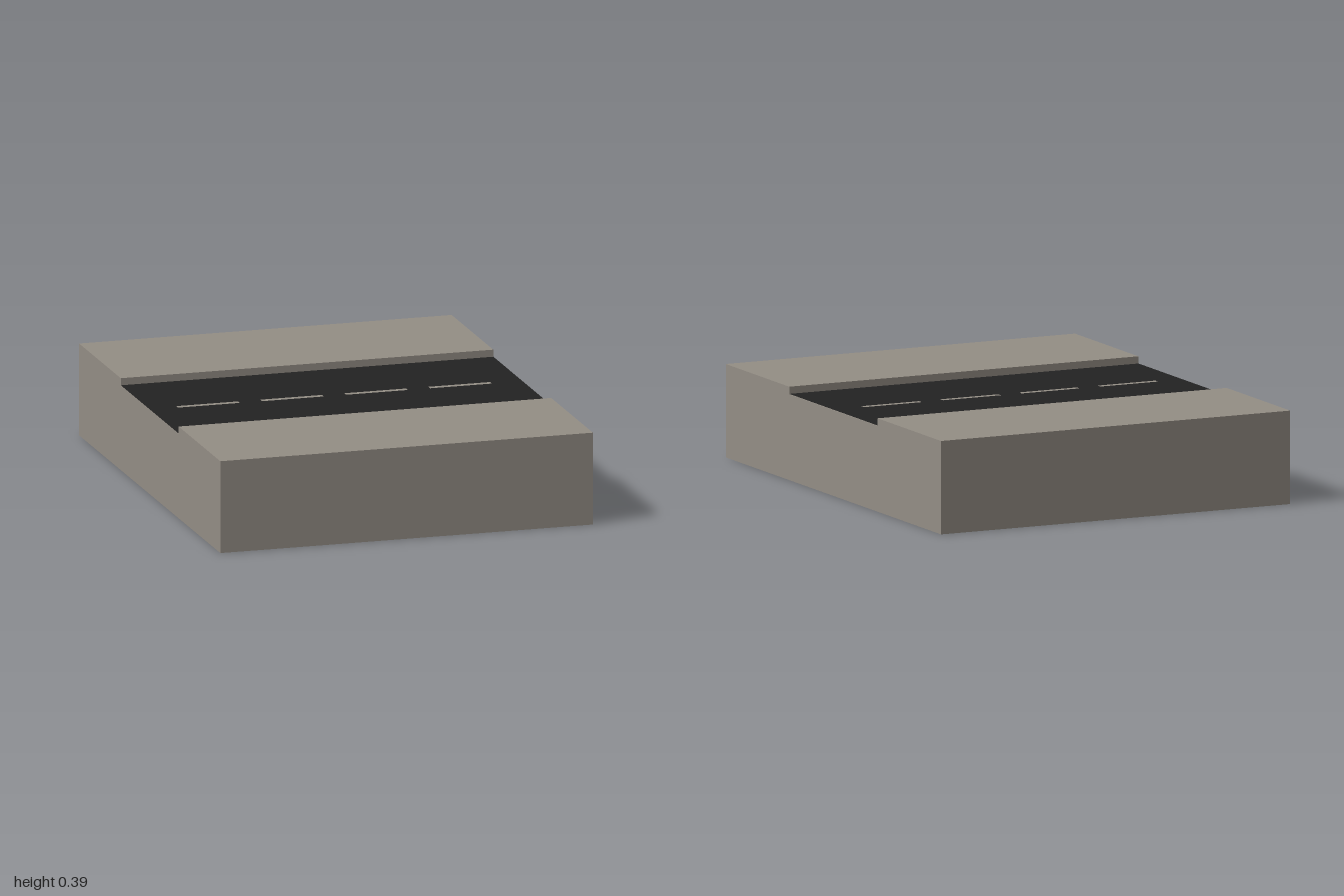
import * as THREE from 'three';

const WIDTH = 1.6;       // along the road
const HALF_DEPTH = 1;    // across the road
const ROAD_HALF = 0.41;
const ROAD_Y = 0.36;
const WALK_Y = 0.39;

export function createModel() {
  const concrete = new THREE.MeshStandardMaterial({ color: 0x958f86 });
  concrete.name = 'concrete';
  const asphalt = new THREE.MeshStandardMaterial({ color: 0x232323 });
  asphalt.name = 'asphalt';

  const group = new THREE.Group();
  group.name = 'roadSection';

  // Concrete block with a raised pavement on each side of the road bed
  const bed = ROAD_Y - 0.002;
  const profile = new THREE.Shape([
    [-HALF_DEPTH, 0], [HALF_DEPTH, 0], [HALF_DEPTH, WALK_Y], [ROAD_HALF, WALK_Y],
    [ROAD_HALF, bed], [-ROAD_HALF, bed], [-ROAD_HALF, WALK_Y], [-HALF_DEPTH, WALK_Y],
  ].map(([x, y]) => new THREE.Vector2(x, y)));
  const blockGeometry = new THREE.ExtrudeGeometry(profile, { depth: WIDTH, bevelEnabled: false });
  blockGeometry.translate(0, 0, -WIDTH / 2).rotateY(Math.PI / 2);
  const block = new THREE.Mesh(blockGeometry, concrete);
  block.name = 'pavementBlock';
  group.add(block);

  // Flat painted surfaces facing up
  const addSurface = (name, width, depth, x, y, material) => {
    const geometry = new THREE.PlaneGeometry(width, depth).rotateX(-Math.PI / 2);
    const mesh = new THREE.Mesh(geometry, material);
    mesh.name = name;
    mesh.position.set(x, y, 0);
    group.add(mesh);
  };
  addSurface('roadSurface', WIDTH, ROAD_HALF * 2, 0, ROAD_Y, asphalt);

  // Dashed centre line
  for (let i = 0; i < 4; i++) {
    addSurface(`laneDash${i + 1}`, 0.265, 0.026, -0.55 + i * 0.361, ROAD_Y + 0.002, concrete);
  }

  return group;
}
